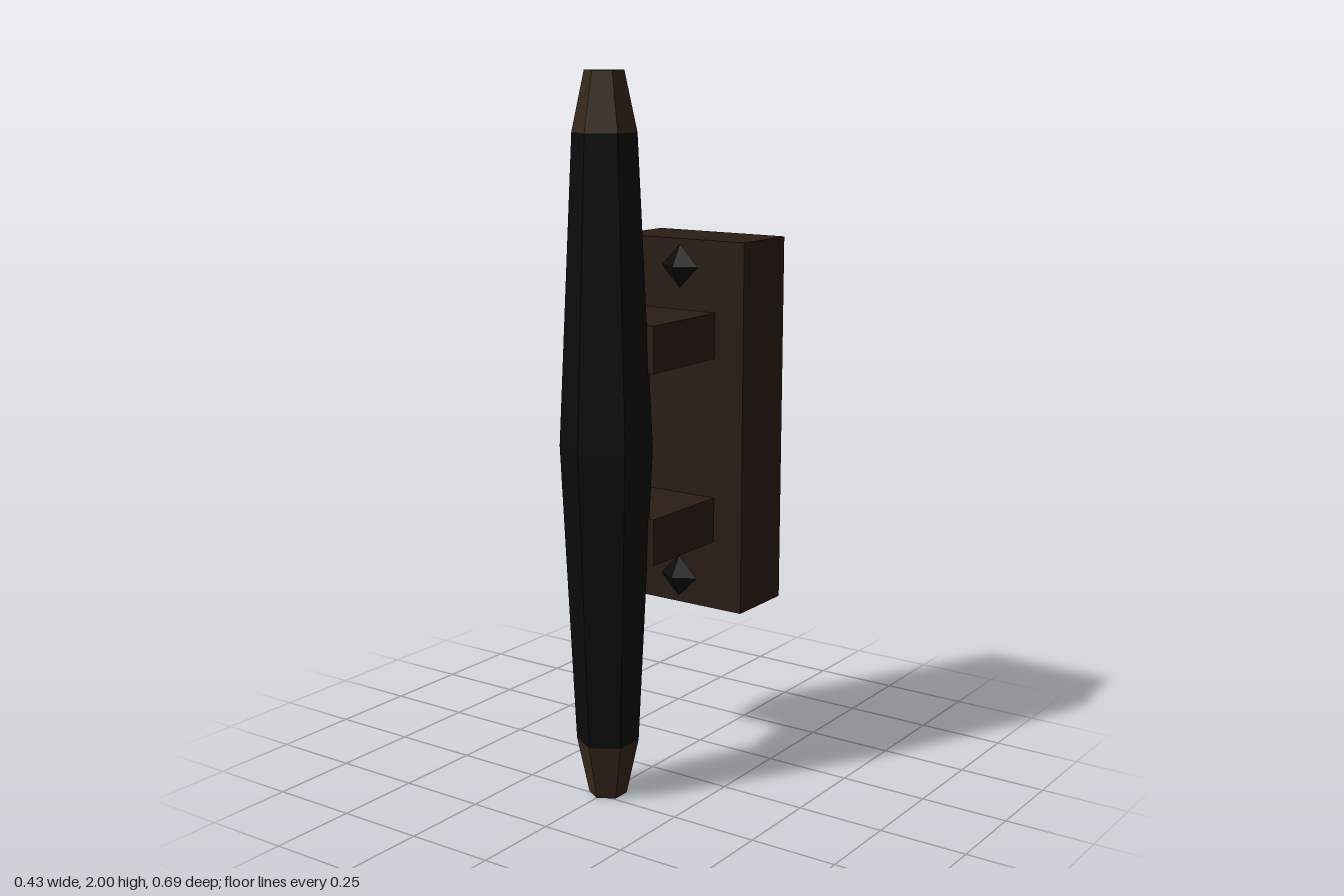
import * as THREE from 'three';

const material = (color) => new THREE.MeshStandardMaterial({ color, flatShading: true });

export function createModel() {
  const model = new THREE.Group();
  const black = material(0x0b0b0b);
  const worn = material(0x2a1d14);
  const tipWorn = material(0x38271b);

  const add = (name, geometry, mat, x, y, z) => {
    const mesh = new THREE.Mesh(geometry, mat);
    mesh.name = name;
    mesh.position.set(x, y, z);
    model.add(mesh);
    return mesh;
  };

  // Six-sided section of the bar, turned from [radius, y] points
  const hexTurned = (points) =>
    new THREE.LatheGeometry(points.map(([r, y]) => new THREE.Vector2(r, y)), 6);

  // Tapered grip bar, widest at mid height
  const barZ = 0.218;
  add('gripBar', hexTurned([[0.087, 0.16], [0.127, 1], [0.087, 1.84]]), black, 0, 0, barZ);

  // Closed, steeper tips at both ends of the bar
  add('lowerBarTip', hexTurned([[0, 0], [0.053, 0], [0.087, 0.16]]), tipWorn, 0, 0, barZ);
  add('upperBarTip', hexTurned([[0.087, 1.84], [0.053, 2], [0, 2]]), tipWorn, 0, 0, barZ);

  // Mounting block behind the bar
  add('mountingBlock', new THREE.BoxGeometry(0.426, 1.062, 0.212), worn, 0, 1.003, -0.239);

  // Arms joining block to bar, and a pointed stud beyond each arm
  for (const [side, s] of [['lower', -1], ['upper', 1]]) {
    add(side + 'Arm', new THREE.BoxGeometry(0.24, 0.13, 0.298), worn, 0, 1.002 + s * 0.266, 0.016);
    const stud = add(side + 'Stud', new THREE.ConeGeometry(0.062, 0.039, 4), black, 0, 1.003 + s * 0.453, -0.114);
    stud.rotation.x = Math.PI / 2;
  }

  return model;
}
